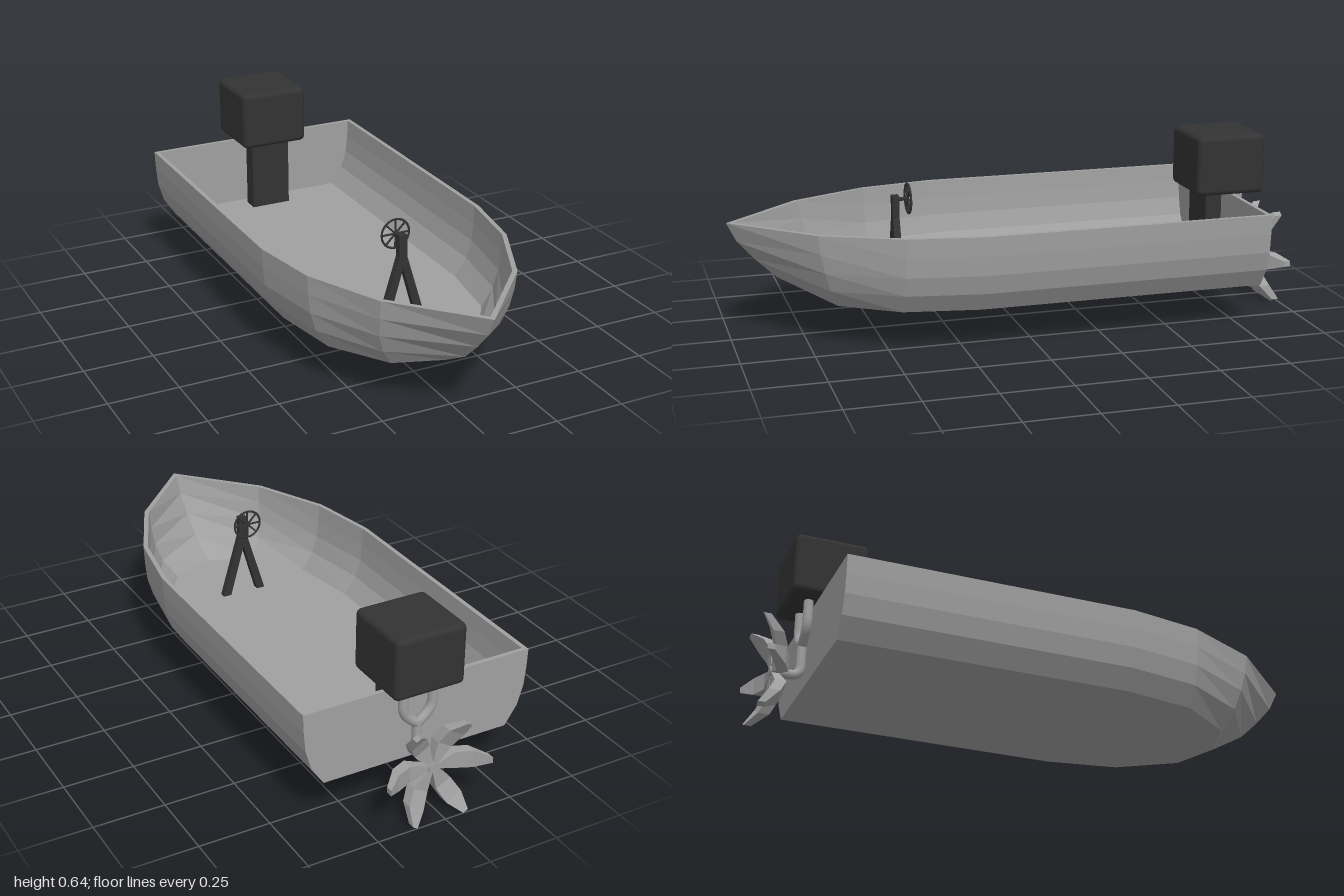
import * as THREE from 'three';
import { RoundedBoxGeometry } from 'three/addons/geometries/RoundedBoxGeometry.js';

const grey = new THREE.MeshStandardMaterial({ color: 0xa0a0a0 });
grey.name = 'hull grey';
const black = new THREE.MeshStandardMaterial({ color: 0x333333 });
black.name = 'motor black';

// Flat-faced skin through closed rings, capped at both ends
function loft(rings) {
  const pos = [];
  const tri = (a, b, c) => pos.push(...a, ...b, ...c);
  for (let j = 0; j < rings.length - 1; j++) {
    const lo = rings[j], hi = rings[j + 1], n = lo.length;
    for (let i = 0; i < n; i++) {
      const k = (i + 1) % n;
      tri(lo[i], hi[i], hi[k]);
      tri(lo[i], hi[k], lo[k]);
    }
  }
  const first = rings[0], last = rings[rings.length - 1];
  for (let i = 1; i < first.length - 1; i++) {
    tri(first[0], first[i], first[i + 1]);
    tri(last[0], last[i + 1], last[i]);
  }
  const g = new THREE.BufferGeometry();
  g.setAttribute('position', new THREE.Float32BufferAttribute(pos, 3));
  g.computeVertexNormals();
  return g;
}

function add(parent, name, geometry, material, x = 0, y = 0, z = 0) {
  const m = new THREE.Mesh(geometry, material);
  m.name = name;
  m.position.set(x, y, z);
  parent.add(m);
  return m;
}

// Straight round bar or square bar between two points
function bar(parent, name, a, b, r, material, sides = 8) {
  const p = new THREE.Vector3(...a), q = new THREE.Vector3(...b);
  const d = q.clone().sub(p);
  const m = add(parent, name, new THREE.CylinderGeometry(r, r, d.length(), sides), material);
  m.position.copy(p).add(q).multiplyScalar(0.5);
  m.quaternion.setFromUnitVectors(new THREE.Vector3(0, 1, 0), d.normalize());
  return m;
}

function pipe(parent, name, points, r) {
  const path = new THREE.CurvePath();
  const v = points.map((p) => new THREE.Vector3(...p));
  // straight runs with rounded corners
  let from = v[0];
  for (let i = 1; i < v.length - 1; i++) {
    const c = v[i];
    const inP = c.clone().lerp(v[i - 1], Math.min(0.5, 0.035 / c.distanceTo(v[i - 1])));
    const outP = c.clone().lerp(v[i + 1], Math.min(0.5, 0.035 / c.distanceTo(v[i + 1])));
    path.add(new THREE.LineCurve3(from, inP));
    path.add(new THREE.QuadraticBezierCurve3(inP, c, outP));
    from = outP;
  }
  path.add(new THREE.LineCurve3(from, v[v.length - 1]));
  return add(parent, name, new THREE.TubeGeometry(path, 30, r, 10), grey);
}

// One level of the hull outline, blended between its bottom and top outlines
const FX = [0, 0.6, 0.87, 0.96, 1];
const FZ = [0, 0.42, 0.67, 0.88, 1];
function hullRing(o, level) {
  const mix = THREE.MathUtils.lerp;
  const y = mix(o.y0, 0.412, level / 4);
  const half = o.x0.map((x, i) => [mix(x, o.x1[i], FX[level]), y, mix(o.z0[i], o.z1[i], FZ[level])]);
  const other = half.slice(0, -1).reverse().map(([x, yy, z]) => [-x, yy, z]);
  return [...half, ...other];
}

export function createModel() {
  const boat = new THREE.Group();
  boat.name = 'motorboat';

  // Hull: up the outside, over the rim, down the inside
  const outer = {
    y0: 0.14,
    x0: [0.345, 0.345, 0.3, 0.17, 0], x1: [0.42, 0.42, 0.375, 0.25, 0],
    z0: [-0.82, 0.2, 0.46, 0.655, 0.715], z1: [-0.82, 0.2, 0.46, 0.73, 1],
  };
  const inner = {
    y0: 0.155,
    x0: [0.33, 0.33, 0.288, 0.163, 0], x1: [0.404, 0.404, 0.36, 0.236, 0],
    z0: [-0.805, 0.2, 0.455, 0.64, 0.7], z1: [-0.805, 0.2, 0.455, 0.72, 0.975],
  };
  const levels = [0, 1, 2, 3, 4];
  add(boat, 'hull', loft([
    ...levels.map((l) => hullRing(outer, l)),
    ...levels.slice().reverse().map((l) => hullRing(inner, l)),
  ]), grey);

  // Outboard motor: casing and the post it stands on
  const cx = 0.018;
  const motor = new THREE.Group();
  motor.name = 'motor';
  motor.position.x = cx;
  boat.add(motor);
  add(motor, 'motorCasing', new RoundedBoxGeometry(0.258, 0.217, 0.257, 2, 0.02), black, 0, 0.529, -0.785);
  add(motor, 'motorPost', new THREE.BoxGeometry(0.152, 0.28, 0.06), black, 0, 0.29, -0.74);

  // Forked pipe carrying the propeller
  for (const s of [-1, 1]) {
    pipe(motor, 'forkPipe', [[s * 0.055, 0.44, -0.842], [s * 0.055, 0.32, -0.842], [0, 0.275, -0.842]], 0.017);
  }
  pipe(motor, 'drivePipe', [[0, 0.29, -0.842], [0, 0.164, -0.842], [0, 0.164, -0.92]], 0.017);

  // Propeller: six cupped blades, each row is radius, half width, front z, back z
  const propeller = new THREE.Group();
  propeller.name = 'propeller';
  propeller.position.set(0, 0.164, -0.93);
  motor.add(propeller);
  const hub = add(propeller, 'propellerHub', new THREE.CylinderGeometry(0.018, 0.018, 0.035, 8), grey);
  hub.rotation.x = Math.PI / 2;
  const bladeGeometry = loft([
    [0.005, 0.006, 0.012, -0.012],
    [0.085, 0.03, 0.028, -0.012],
    [0.14, 0.031, 0.004, -0.035],
    [0.19, 0.01, -0.045, -0.07],
  ].map(([r, w, f, b]) => [[w, r, b], [w, r, f], [-w, r, f], [-w, r, b]]));
  for (let i = 0; i < 6; i++) {
    add(propeller, 'propellerBlade', bladeGeometry, grey).rotation.z = Math.PI / 6 + (i * Math.PI) / 3;
  }

  // Steering stand: two splayed legs and a short shaft
  const helm = new THREE.Group();
  helm.name = 'helm';
  helm.position.set(-0.005, 0, 0);
  boat.add(helm);
  for (const s of [-1, 1]) {
    const leg = new THREE.Shape();
    leg.moveTo(s * 0.055, 0.155);
    leg.lineTo(s * 0.086, 0.155);
    leg.lineTo(s * 0.015, 0.39);
    leg.lineTo(s * 0.015, 0.467);
    leg.lineTo(-s * 0.012, 0.467);
    leg.lineTo(-s * 0.012, 0.39);
    add(helm, 'standLeg', new THREE.ExtrudeGeometry(leg, { depth: 0.024, bevelEnabled: false }), black, 0, 0, 0.402);
  }
  bar(helm, 'wheelShaft', [0, 0.453, 0.41], [0, 0.453, 0.366], 0.007, black);

  // Steering wheel with eight spokes
  const wheel = new THREE.Group();
  wheel.name = 'steeringWheel';
  wheel.position.set(0, 0.453, 0.368);
  helm.add(wheel);
  add(wheel, 'wheelRim', new THREE.TorusGeometry(0.052, 0.004, 6, 24), black);
  for (let i = 0; i < 8; i++) {
    const a = (i * Math.PI) / 4;
    bar(wheel, 'wheelSpoke', [0, 0, 0], [0.052 * Math.cos(a), 0.052 * Math.sin(a), 0], 0.0035, black, 6);
  }
  return boat;
}
